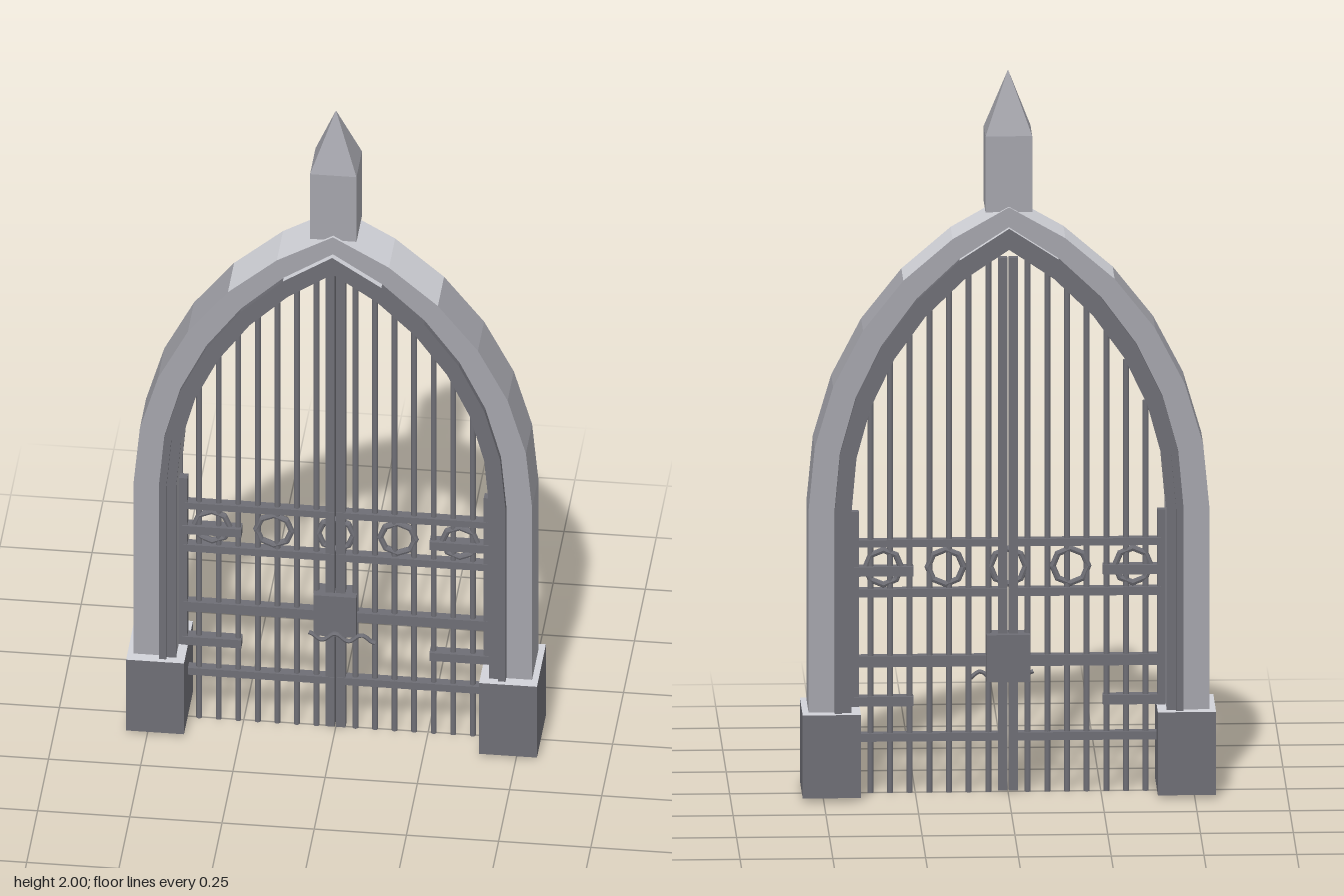
import * as THREE from 'three';

const SPRING = 0.8; // height where the straight jambs turn into the arch

function mat(name, color) {
  const m = new THREE.MeshStandardMaterial({ color, flatShading: true });
  m.name = name;
  return m;
}

// Circle whose arc rises vertically at x = w and meets the centre line at height h
function arc(w, h) {
  const c = (w * w - h * h) / (2 * w);
  return { c, r: w - c };
}

// Pointed-arch outline, from right foot over the apex to left foot
function archPoints(w, h, foot, segs = 6) {
  const { c, r } = arc(w, h);
  const end = Math.acos(-c / r);
  const right = [new THREE.Vector2(w, foot)];
  for (let i = 0; i <= segs; i++) {
    const a = (end * i) / segs;
    right.push(new THREE.Vector2(i === segs ? 0 : c + r * Math.cos(a), SPRING + r * Math.sin(a)));
  }
  const left = right.slice(0, -1).reverse().map(p => new THREE.Vector2(-p.x, p.y));
  return [...right, ...left];
}

// Solid arch band between an outer and an inner outline, from z0 to z1
function archBand(outer, inner, foot, z0, z1) {
  const pts = [...archPoints(...outer, foot), ...archPoints(...inner, foot).reverse()];
  const g = new THREE.ExtrudeGeometry(new THREE.Shape(pts), { depth: z1 - z0, bevelEnabled: false });
  return g.translate(0, 0, z0);
}

// Put faces that look upward in material group 1 and all others in group 0
function groupTops(geometry) {
  const g = geometry.index ? geometry.toNonIndexed() : geometry;
  g.clearGroups();
  const n = g.attributes.normal;
  for (let i = 0; i < n.count; i += 3) g.addGroup(i, 3, n.getY(i) > 0.745 ? 1 : 0);
  return g;
}

export function createModel() {
  const model = new THREE.Group();
  model.name = 'archedGate';
  const stone = mat('stone', 0xa4a4ab);
  const paleStone = mat('pale weathered stone', 0xd2d3d9);
  const darkStone = mat('dark stone', 0x6e6e75);
  const iron = mat('iron', 0x6e6e75);

  const add = (name, geometry, material, x = 0, y = 0, z = 0) => {
    const m = new THREE.Mesh(geometry, material);
    m.name = name;
    m.position.set(x, y, z);
    model.add(m);
    return m;
  };
  const box = (name, w, h, d, material, x, y, z = 0) =>
    add(name, new THREE.BoxGeometry(w, h, d), material, x, y, z);

  // Stone arch with pale upper facets
  add('arch', groupTops(archBand([0.54, 0.835], [0.425, 0.72], 0.2, -0.071, 0.071)), [stone, paleStone]);

  // Stepped dark mouldings on the front and back of the arch
  for (const [z0, z1] of [[0.07, 0.089], [-0.089, -0.07]]) {
    add('moulding', groupTops(archBand([0.47, 0.78], [0.45, 0.75], 0.2, z0, z1)), [darkStone, paleStone]);
  }
  for (const [z0, z1] of [[0.07, 0.078], [-0.078, -0.07]]) {
    add('innerMoulding', archBand([0.452, 0.752], [0.424, 0.719], 0.2, z0, z1), darkStone);
  }

  // Finial post with pyramid cap
  box('finialPost', 0.126, 0.21, 0.126, stone, 0, 1.725);
  const cap = new THREE.ConeGeometry(0.063 * Math.SQRT2, 0.17, 4).rotateY(Math.PI / 4);
  add('finialCap', cap, stone, 0, 1.915);

  const { c, r } = arc(0.425, 0.72);
  for (const s of [-1, 1]) {
    // Plinth: dark sides, pale top
    add('plinth', groupTops(new THREE.BoxGeometry(0.157, 0.23, 0.206)), [darkStone, paleStone], s * 0.4785, 0.125);

    // Gate stiles
    box('outerStile', 0.022, 0.76, 0.024, iron, s * 0.413, 0.4);
    box('meetingStile', 0.025, 1.475, 0.024, iron, s * 0.0145, 0.7425);

    // Vertical bars, cut to follow the arch
    for (let i = 1; i <= 7; i++) {
      const x = i * 0.053;
      const top = SPRING + Math.sqrt(r * r - (x - c) ** 2) - 0.012;
      add('verticalBar', new THREE.CylinderGeometry(0.008, 0.008, top, 16), iron, s * x, top / 2);
    }

    // Hinge straps
    for (const y of [0.255, 0.615]) box('hingeStrap', 0.16, 0.026, 0.032, iron, s * 0.335, y);

    // Horizontal rails of each leaf
    for (const [y, h] of [[0.155, 0.022], [0.365, 0.03], [0.555, 0.022], [0.692, 0.02]]) {
      box('rail', 0.41, h, 0.028, iron, s * 0.207, y);
    }
  }

  // Ornamental rings between the upper rails
  for (let i = -2; i <= 2; i++) {
    add('ring', new THREE.TorusGeometry(0.048, 0.009, 8, 8), iron, i * 0.168, 0.624);
  }

  // Lock box and hanging chain
  box('lockBox', 0.116, 0.13, 0.06, iron, 0, 0.375);
  const path = [];
  for (let i = 0; i <= 16; i++) {
    const t = i / 16;
    path.push(new THREE.Vector3(-0.07 + 0.18 * t, 0.313 + 0.011 * Math.cos(t * Math.PI * 5), 0.036));
  }
  add('chain', new THREE.TubeGeometry(new THREE.CatmullRomCurve3(path), 32, 0.006, 6), iron);

  return model;
}
